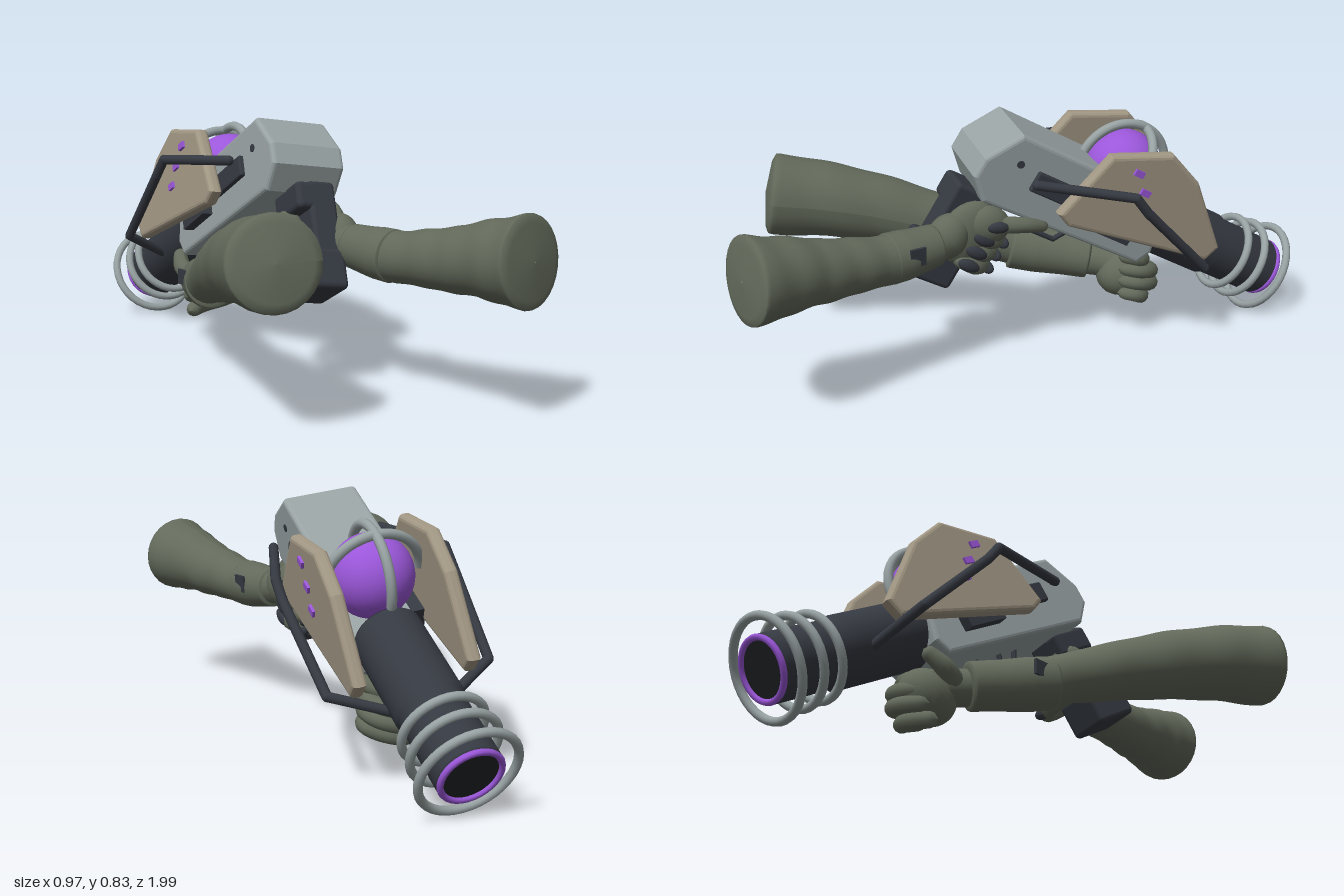
import * as THREE from 'three';
import { RoundedBoxGeometry } from 'three/addons/geometries/RoundedBoxGeometry.js';

const mat = (name, color) => Object.assign(new THREE.MeshStandardMaterial({ color }), { name });
const M = {
  olive: mat('olive cloth', 0x636a5b),
  grey: mat('grey metal', 0x98a2a3),
  dark: mat('dark metal', 0x353941),
  black: mat('black bore', 0x202427),
  beige: mat('beige plate', 0xa29784),
  purple: mat('purple glow', 0x9b57da),
};

function add(parent, name, geo, material, pos = [0, 0, 0], rot = [0, 0, 0]) {
  const mesh = new THREE.Mesh(geo, material);
  mesh.name = name;
  mesh.position.set(...pos);
  mesh.rotation.set(...rot);
  parent.add(mesh);
  return mesh;
}

// Side profile in (forward, up), extruded across the gun and centred on it
function sideProfile(points, width, bevel) {
  const shape = new THREE.Shape(points.map(([w, v]) => new THREE.Vector2(w, v)));
  const geo = new THREE.ExtrudeGeometry(shape, {
    depth: width - 2 * bevel, bevelEnabled: true, bevelSize: bevel,
    bevelThickness: bevel, bevelOffset: -bevel, bevelSegments: 3,
  });
  geo.translate(0, 0, -(width - 2 * bevel) / 2);
  return geo.rotateY(Math.PI / 2);
}

// Soft limb: a tube whose radius follows a list, with domed ends and optional uneven folds
function limb(points, radii, segs = 24, sides = 16, crease = 0) {
  const curve = new THREE.CatmullRomCurve3(points.map((p) => new THREE.Vector3(...p)));
  const geo = new THREE.TubeGeometry(curve, segs, 1, sides);
  const pos = geo.attributes.position, v = new THREE.Vector3();
  for (let i = 0; i <= segs; i++) {
    const t = i / segs, c = curve.getPointAt(t);
    const f = t * (radii.length - 1), k = Math.min(Math.floor(f), radii.length - 2);
    const edge = Math.min(1, Math.min(i, segs - i) / 2.5);
    const dome = Math.max(0.005, Math.sqrt(1 - (1 - edge) ** 2));
    const r = THREE.MathUtils.lerp(radii[k], radii[k + 1], f - k) * dome;
    for (let j = 0; j <= sides; j++) {
      const n = i * (sides + 1) + j, a = (j / sides) * Math.PI * 2;
      const fold = 1 + crease * (Math.sin(t * 31 + 1.5 * Math.sin(a)) + 0.7 * Math.sin(t * 19 + 2 * Math.cos(a)));
      v.fromBufferAttribute(pos, n).sub(c).multiplyScalar(r * fold).add(c);
      pos.setXYZ(n, v.x, v.y, v.z);
    }
  }
  geo.computeVertexNormals();
  return geo;
}

// Bent rod of straight pieces with round joints
function rod(parent, name, points, radius, material) {
  const g = new THREE.Group();
  g.name = name;
  const ps = points.map((p) => new THREE.Vector3(...p));
  ps.forEach((p, i) => {
    add(g, name + 'Joint', new THREE.SphereGeometry(radius, 10, 8), material, p.toArray());
    if (!i) return;
    const d = p.clone().sub(ps[i - 1]);
    const bar = add(g, name + 'Bar', new THREE.CylinderGeometry(radius, radius, d.length(), 10), material,
      p.clone().add(ps[i - 1]).multiplyScalar(0.5).toArray());
    bar.quaternion.setFromUnitVectors(new THREE.Vector3(0, 1, 0), d.normalize());
  });
  parent.add(g);
}

function ellipsoid(parent, name, size, pos, material, rot) {
  add(parent, name, new THREE.SphereGeometry(1, 20, 14), material, pos, rot).scale.set(...size);
}

// The gun is built along -z, around the glowing core near its origin
function buildGun() {
  const gun = new THREE.Group();
  gun.name = 'gun';

  // Chamfered body with a cut-out for the core
  add(gun, 'body', sideProfile([[-0.47, -0.01], [-0.55, -0.13], [-0.55, -0.2], [-0.48, -0.265], [0.16, -0.255],
    [0.19, -0.2], [0.17, -0.12], [-0.05, -0.12], [-0.12, -0.01]], 0.258, 0.014), M.grey);

  // Core and cage hoops
  add(gun, 'core', new THREE.SphereGeometry(0.134, 32, 24), M.purple, [0, 0, 0.012]);
  add(gun, 'crossHoop', new THREE.TorusGeometry(0.158, 0.016, 10, 32, Math.PI), M.grey, [0, 0, 0.012]);
  add(gun, 'longHoop', new THREE.TorusGeometry(0.16, 0.016, 10, 32, Math.PI), M.grey, [0, 0, 0.015], [0, Math.PI / 2, 0]);

  // Barrel, bore, muzzle rings
  const barrel = new THREE.LatheGeometry([[0, 0.13], [0.105, 0.13], [0.112, 0.14], [0.112, 0.46], [0.103, 0.47],
    [0.103, 0.72], [0.085, 0.735], [0.08, 0.72], [0, 0.72]].map(([r, y]) => new THREE.Vector2(r, y)), 32);
  add(gun, 'barrel', barrel, M.dark, [0, -0.12, 0], [-Math.PI / 2, 0, 0]);
  add(gun, 'bore', new THREE.CircleGeometry(0.086, 28), M.black, [0, -0.12, -0.733], [0, Math.PI, 0]);
  add(gun, 'muzzleGlow', new THREE.TorusGeometry(0.094, 0.01, 8, 32), M.purple, [0, -0.12, -0.734]);
  [[0.55, 0.13], [0.625, 0.137], [0.718, 0.153]].forEach(([w, r]) =>
    add(gun, 'coilRing', new THREE.TorusGeometry(r, 0.014, 10, 36), M.grey, [0, -0.12, -w]));

  // Side plates, lights, guard rods and mounts, mirrored
  const plate = sideProfile([[-0.255, -0.185], [-0.195, 0.063], [0.005, 0.153], [0.152, 0.103],
    [0.367, -0.069], [0.346, -0.13], [-0.2, -0.208]], 0.046, 0.015);
  for (const s of [-1, 1]) {
    add(gun, 'sidePlate', plate, M.beige, [s * 0.182, 0, 0]);
    [[-0.08, 0.05], [-0.02, 0], [0.03, -0.054]].forEach(([w, v]) =>
      add(gun, 'plateLight', new THREE.BoxGeometry(0.016, 0.022, 0.036), M.purple, [s * 0.206, v, -w]));
    rod(gun, 'guardRod', [[s * 0.19, -0.125, 0.375], [s * 0.284, -0.01, 0.09],
      [s * 0.284, -0.04, 0.02], [s * 0.262, -0.137, -0.31], [s * 0.1, -0.16, -0.4]], 0.016, M.dark);
    add(gun, 'rodMount', new RoundedBoxGeometry(0.03, 0.07, 0.2, 2, 0.006), M.dark, [s * 0.13, -0.13, 0.26]);
    add(gun, 'plateSpacer', new THREE.BoxGeometry(0.06, 0.08, 0.16), M.dark, [s * 0.135, -0.16, 0.02]);
    add(gun, 'bodyBolt', new THREE.CylinderGeometry(0.013, 0.013, 0.006, 14), M.dark, [s * 0.129, -0.1, 0.43], [0, 0, Math.PI / 2]);
  }

  // Grip and trigger guard
  add(gun, 'grip', new RoundedBoxGeometry(0.095, 0.34, 0.16, 3, 0.015), M.dark, [0.03, -0.42, 0.478]);
  add(gun, 'gripTop', new RoundedBoxGeometry(0.135, 0.09, 0.16, 3, 0.018), M.dark, [0.008, -0.298, 0.478]);
  add(gun, 'gripBase', new RoundedBoxGeometry(0.152, 0.13, 0.175, 3, 0.018), M.dark, [0.002, -0.54, 0.48]);
  rod(gun, 'triggerGuard', [[0, -0.25, 0.25], [0, -0.325, 0.2], [0, -0.325, 0.1], [0, -0.25, 0.05]], 0.009, M.dark);
  rod(gun, 'trigger', [[0, -0.25, 0.17], [0, -0.3, 0.155]], 0.009, M.dark);

  // Hand around the grip, with knuckle pads
  ellipsoid(gun, 'gripPalm', [0.045, 0.115, 0.095], [0.095, -0.385, 0.45], M.olive);
  ellipsoid(gun, 'gripHeel', [0.06, 0.08, 0.07], [0.1, -0.42, 0.51], M.olive);
  ellipsoid(gun, 'gripKnuckle', [0.045, 0.065, 0.075], [0.11, -0.33, 0.41], M.olive);
  for (let i = 0; i < 3; i++) {
    const v = -0.375 - i * 0.05;
    add(gun, 'gripFinger', limb([[0.1, v, 0.46], [0.115, v, 0.38], [0.06, v, 0.33], [-0.03, v, 0.335], [-0.085, v, 0.39]],
      [0.028, 0.03, 0.028, 0.026, 0.02], 24, 12), M.olive);
    ellipsoid(gun, 'knucklePad', [0.016, 0.021, 0.04], [0.138, v, 0.41], M.dark);
    ellipsoid(gun, 'fingerPad', [0.028, 0.02, 0.016], [0.086, v, 0.32], M.dark, [0, 0.6, 0]);
  }
  add(gun, 'triggerFinger', limb([[0.095, -0.34, 0.46], [0.125, -0.31, 0.38], [0.135, -0.275, 0.3], [0.12, -0.255, 0.22]],
    [0.032, 0.03, 0.026, 0.019], 24, 12), M.olive);
  ellipsoid(gun, 'knucklePad', [0.015, 0.02, 0.038], [0.15, -0.315, 0.395], M.dark, [0.4, 0, 0]);
  add(gun, 'gripThumb', limb([[0.01, -0.33, 0.41], [-0.035, -0.34, 0.44], [-0.042, -0.39, 0.475], [-0.038, -0.46, 0.49]],
    [0.03, 0.036, 0.034, 0.028], 24, 12), M.olive);

  // Tilt the gun down, turned and rolled slightly
  const back = new THREE.Vector3(0.147, 0.483, 0.863).normalize();
  const up = back.clone().cross(new THREE.Vector3(1, -0.14, -0.092)).normalize();
  const side = up.clone().cross(back);
  gun.quaternion.setFromRotationMatrix(new THREE.Matrix4().makeBasis(side, up, back));
  gun.position.set(-0.061, 0.592, -0.352);
  return gun;
}

// Arm reaching under the barrel
function buildSupportArm() {
  const arm = new THREE.Group();
  arm.name = 'supportArm';
  add(arm, 'sleeve', limb([[-0.35, 0.515, 0.83], [-0.325, 0.465, 0.55], [-0.285, 0.37, 0.22], [-0.245, 0.287, -0.03], [-0.22, 0.265, -0.14]],
    [0.139, 0.129, 0.114, 0.098, 0.08, 0.075], 90, 28, 0.012), M.olive);
  add(arm, 'cuff', limb([[-0.25, 0.29, 0.01], [-0.22, 0.262, -0.13], [-0.185, 0.236, -0.275]],
    [0.086, 0.086, 0.08, 0.078], 60, 28), M.olive);
  add(arm, 'cuffPatch', new THREE.BoxGeometry(0.009, 0.05, 0.06), M.dark, [-0.316, 0.292, -0.08], [0, 0.24, 0]);
  add(arm, 'wrist', limb([[-0.2, 0.24, -0.2], [-0.165, 0.23, -0.31], [-0.13, 0.21, -0.4]], [0.06, 0.06, 0.068], 24, 18), M.olive);
  ellipsoid(arm, 'palm', [0.09, 0.085, 0.1], [-0.13, 0.195, -0.38], M.olive, [0.4, 0.2, 0]);
  for (let i = 0; i < 4; i++) {
    const y = 0.11 + i * 0.045, z = 0.03 * Math.abs(i - 1.5);
    add(arm, 'finger', limb([[-0.2, y - 0.01, -0.42 + z], [-0.13, y - 0.005, -0.48 + z], [-0.05, y + 0.015, -0.465 + z],
      [-0.022, y + 0.03, -0.4], [-0.04, y + 0.04, -0.33]], [0.026, 0.028, 0.028, 0.026, 0.02], 24, 12), M.olive);
  }
  add(arm, 'thumb', limb([[-0.19, 0.23, -0.31], [-0.225, 0.26, -0.37], [-0.215, 0.31, -0.44]], [0.034, 0.031, 0.022], 20, 12), M.olive);
  return arm;
}

// Arm holding the grip
function buildGripArm() {
  const arm = new THREE.Group();
  arm.name = 'gripArm';
  add(arm, 'sleeve', limb([[0.369, 0.487, 0.952], [0.318, 0.475, 0.83], [0.254, 0.455, 0.69], [0.165, 0.435, 0.49], [0.14, 0.435, 0.43]],
    [0.139, 0.121, 0.102, 0.09, 0.08, 0.075], 80, 28, 0.014), M.olive);
  add(arm, 'cuff', limb([[0.167, 0.435, 0.505], [0.135, 0.438, 0.42], [0.1, 0.445, 0.33]], [0.083, 0.081, 0.074, 0.068], 50, 28), M.olive);
  add(arm, 'cuffPatch', new THREE.BoxGeometry(0.009, 0.06, 0.055), M.dark, [0.212, 0.45, 0.41], [0, 0.35, -0.1]);
  add(arm, 'wrist', limb([[0.13, 0.44, 0.4], [0.09, 0.45, 0.32], [0.06, 0.46, 0.25]], [0.064, 0.062, 0.06], 20, 18), M.olive);
  return arm;
}

export function createModel() {
  const model = new THREE.Group();
  model.name = 'heldBlaster';
  model.add(buildGun(), buildSupportArm(), buildGripArm());
  return model;
}
